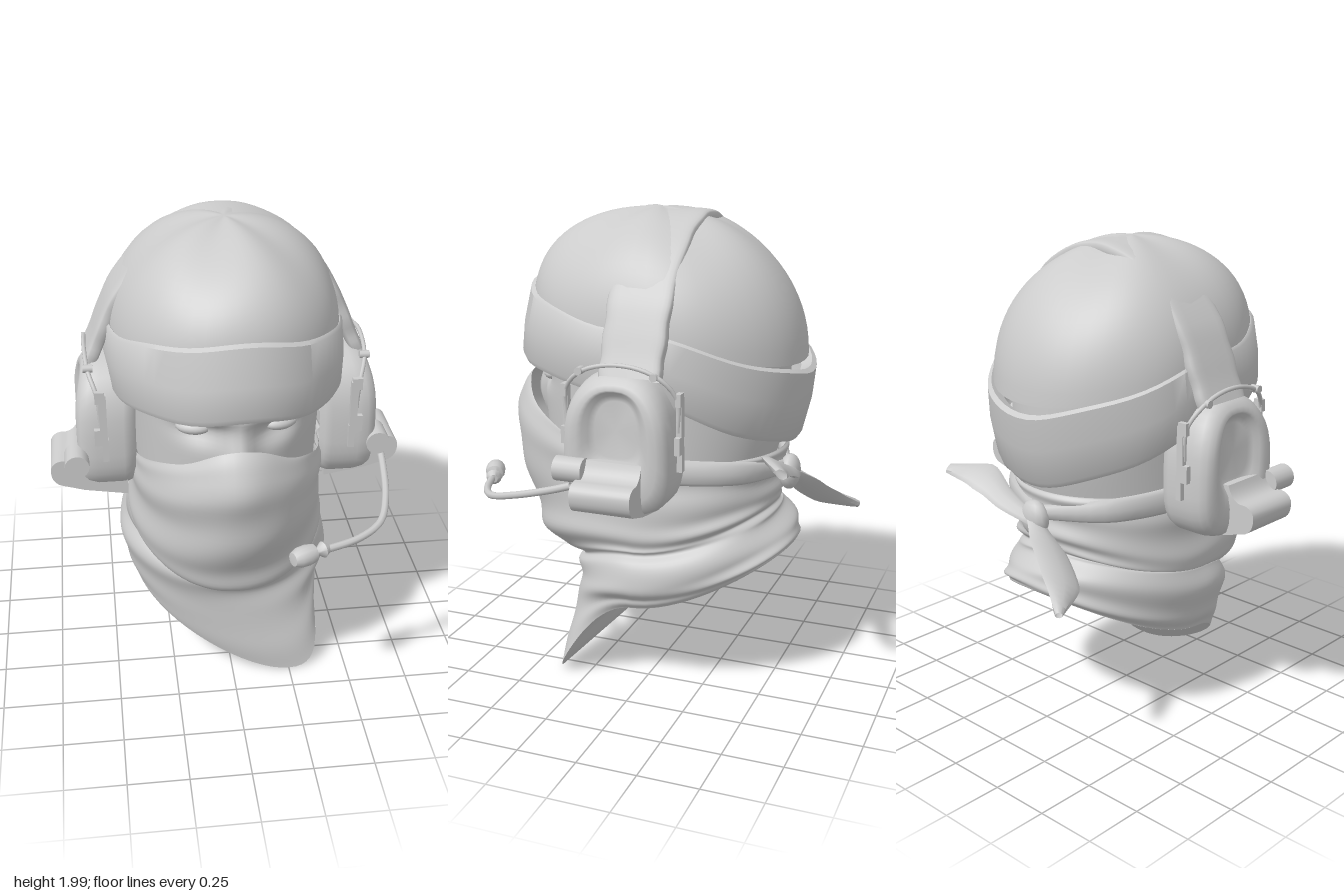
import * as THREE from 'three';
import { mergeVertices, toCreasedNormals } from 'three/addons/utils/BufferGeometryUtils.js';

const mat = new THREE.MeshStandardMaterial({ color: 0xcccccc, side: THREE.DoubleSide });
const V = (p) => new THREE.Vector3(...p);

function add(parent, name, geo, crease) {
  const mesh = new THREE.Mesh(crease ? toCreasedNormals(geo, crease) : geo, mat);
  mesh.name = name;
  parent.add(mesh);
  return mesh;
}

// Grid surface from f(u, v) -> [x, y, z], closed around u
function surf(nu, nv, f) {
  const pos = [], idx = [];
  for (let j = 0; j <= nv; j++)
    for (let i = 0; i <= nu; i++) pos.push(...f((i % nu) / nu, j / nv));
  for (let j = 0; j < nv; j++)
    for (let i = 0; i < nu; i++) {
      const a = j * (nu + 1) + i, b = a + nu + 1;
      idx.push(a, b, a + 1, a + 1, b, b + 1);
    }
  let g = new THREE.BufferGeometry();
  g.setAttribute('position', new THREE.Float32BufferAttribute(pos, 3));
  g.setIndex(idx);
  g = mergeVertices(g, 1e-5);
  g.computeVertexNormals();
  return g;
}

const spow = (x, p) => Math.sign(x) * Math.abs(x) ** p;
const bump = (x, s) => Math.exp(-(x * x) / (s * s));

// Rings listed top to bottom: [frontY, frontZ, sideY, sideX, backY, backZ, frontShiftX]
function ringSurf(rings, nu, steps, deform = (p) => p) {
  const n = rings.length - 1;
  return surf(nu, n * steps, (u, v) => {
    const k = Math.min(Math.floor(v * n + 1e-6), n - 1), t = v * n - k;
    const at = (i) => rings[Math.max(0, Math.min(n, i))];
    const r = Array.from({ length: 7 }, (_, i) => {
      const [a, b, c, d] = [k - 1, k, k + 1, k + 2].map((q) => at(q)[i] ?? 0);
      if (steps === 1) return b + (c - b) * t;
      return b + 0.5 * t * (c - a + t * (2 * a - 5 * b + 4 * c - d + t * (3 * (b - c) + d - a)));
    });
    const th = u * Math.PI * 2, c = spow(Math.cos(th), 0.95), front = c > 0;
    return deform([
      r[3] * spow(Math.sin(th), 0.95) + (front ? r[6] * c ** 3 : 0),
      r[2] + (front ? (r[0] - r[2]) * c * c : (r[4] - r[2]) * Math.abs(c) ** 1.5),
      front ? r[1] * c : -r[5] * c,
    ], th, v);
  });
}

// Flat tapering cloth strip along points; widths along it, dir = width direction
function strip(points, widths, dir, thick) {
  const curve = new THREE.CatmullRomCurve3(points.map(V)), d = V(dir).normalize();
  return surf(8, 16, (u, v) => {
    const k = Math.min(Math.floor(v * (widths.length - 1)), widths.length - 2);
    const w = THREE.MathUtils.lerp(widths[k], widths[k + 1], v * (widths.length - 1) - k);
    const side = curve.getTangent(v).cross(d).normalize(), a = u * Math.PI * 2;
    return curve.getPoint(v).addScaledVector(d, Math.cos(a) * w)
      .addScaledVector(side, Math.sin(a) * Math.min(thick, w)).toArray();
  });
}

const rod = (points, r) => new THREE.TubeGeometry(new THREE.CatmullRomCurve3(points.map(V)), 28, r, 8);

function earCup(zShift) {
  const g = new THREE.Group();
  // Padded shell with a shallow oval recess: [x, scale, centreY]
  const prof = [[0.38, 0.88, 1.14], [0.4, 0.98, 1.14], [0.43, 1.02, 1.14], [0.54, 1.02, 1.14], [0.58, 0.99, 1.14],
    [0.605, 0.93, 1.14], [0.618, 0.82, 1.15], [0.62, 0.68, 1.17], [0.61, 0.58, 1.19], [0.59, 0.5, 1.195], [0.575, 0.4, 1.2], [0.575, 0, 1.2]];
  add(g, 'cupShell', surf(36, prof.length - 1, (u, v) => {
    const [x, s, cy] = prof[Math.round(v * (prof.length - 1))];
    const a = u * Math.PI * 2, c = Math.cos(a), q = Math.sin(a), pw = q > 0 ? 0.8 : 0.65;
    return [x - (q > 0 ? 0.04 * q * q * s : 0), cy + spow(q, pw) * 0.28 * s, spow(c, pw) * (0.22 - 0.015 * q) * s];
  }));
  // Flared housing at the foot of the cup
  const shape = new THREE.Shape();
  shape.moveTo(0.42, 0.84);
  shape.lineTo(0.6, 0.87);
  shape.lineTo(0.7, 0.9);
  shape.quadraticCurveTo(0.74, 0.92, 0.735, 0.98);
  shape.quadraticCurveTo(0.72, 1.02, 0.67, 1.015);
  shape.quadraticCurveTo(0.63, 1.02, 0.61, 1.08);
  shape.lineTo(0.42, 1.08);
  const housing = new THREE.ExtrudeGeometry(shape, { depth: 0.25, bevelEnabled: false, curveSegments: 6 });
  add(g, 'cupHousing', housing, 0.7).position.z = -0.12 + zShift;
  const knob = add(g, 'knob', new THREE.CylinderGeometry(0.05, 0.05, 0.12, 16).rotateX(Math.PI / 2));
  knob.position.set(0.625, 1.04, 0.17 + zShift);
  // Wire yoke and its sliding clips
  add(g, 'yokeWire', rod([[0.52, 1.2, 0.23], [0.53, 1.33, 0.23], [0.56, 1.41, 0.16], [0.57, 1.45, 0.05],
    [0.57, 1.45, -0.08], [0.56, 1.41, -0.18], [0.53, 1.33, -0.235], [0.52, 1.2, -0.235]], 0.009));
  for (const z of [0.235, -0.24]) {
    const clip = new THREE.Group();
    clip.name = 'yokeClip';
    for (const [x, y, w, h] of [[0.51, 1.24, 0.03, 0.2], [0.525, 1.15, 0.045, 0.07], [0.505, 1.09, 0.025, 0.1], [0.52, 1.33, 0.04, 0.05]])
      add(clip, 'clipPlate', new THREE.BoxGeometry(w, h, 0.022)).position.set(x, y, z);
    const pin = add(clip, 'clipPin', new THREE.CylinderGeometry(0.016, 0.016, 0.04, 10).rotateZ(Math.PI / 2));
    pin.position.set(0.56, 1.42, z * 0.65);
    g.add(clip);
  }
  return g;
}

export function createModel() {
  const model = new THREE.Group();

  // Head with brow, sockets and nose bridge
  add(model, 'face', ringSurf([[1.52, 0.55, 1.5, 0.41, 1.4, -0.52], [1.38, 0.55, 1.38, 0.4, 1.25, -0.52],
    [1.2, 0.54, 1.2, 0.39, 1.1, -0.5], [1.0, 0.52, 1.0, 0.38, 0.95, -0.46]], 96, 10, ([x, y, z]) => {
    if (z > 0) {
      z += 0.07 * bump(x, 0.05) * bump(y - 1.17, 0.13) - 0.05 * bump(Math.abs(x) - 0.15, 0.085) * bump(y - 1.295, 0.05);
      z += 0.03 * bump(y - 1.37, 0.035) * bump(Math.abs(x) - 0.13, 0.13);
    }
    return [x, y, z];
  }));
  for (const s of [-1, 1]) {
    const eye = add(model, 'eye', new THREE.SphereGeometry(1, 20, 12));
    eye.scale.set(0.07, 0.03, 0.045);
    eye.position.set(s * 0.17, 1.3, 0.45);
    eye.rotation.y = s * 0.35;
  }

  // Knitted cap, broadest behind the ears: dome and folded cuff
  const broaden = (z) => 1 + 0.07 * bump(z + 0.28, 0.24);
  add(model, 'capDome', surf(48, 20, (u, v) => {
    const th = u * Math.PI * 2, c = spow(Math.cos(th), 0.95), a = v * Math.PI / 2, r = Math.sin(a);
    const base = 1.5 + (c > 0 ? 0.1 * c * c : -0.1 * Math.abs(c) ** 1.5);
    const z = (c > 0 ? 0.565 : 0.59) * c * r + 0.03 * (1 - v);
    const x = 0.465 * spow(Math.sin(th), 0.95) * r * broaden(z);
    return [x, base + (1.99 - base) * Math.cos(a) ** 0.92 + 0.012 * Math.sin(th * 5) * Math.sin(2 * a), z];
  }));
  add(model, 'capCuff', ringSurf([[1.65, 0.52, 1.54, 0.44, 1.35, -0.56], [1.685, 0.56, 1.575, 0.465, 1.375, -0.605],
    [1.675, 0.58, 1.565, 0.475, 1.36, -0.625], [1.53, 0.615, 1.45, 0.485, 1.23, -0.61], [1.41, 0.63, 1.335, 0.48, 1.09, -0.575],
    [1.385, 0.62, 1.315, 0.47, 1.07, -0.56], [1.39, 0.54, 1.33, 0.42, 1.09, -0.52]], 64, 1, ([x, y, z], th) =>
    [x * broaden(z), y + 0.006 * Math.sin(th * 7 + 1), z]), 0.8);

  // Face scarf: mask, tucked chin and hanging collar point
  const scarf = [[1.27, 0.61, 1.02, 0.395, 1.03, -0.51], [1.2, 0.65, 1.0, 0.4, 1.01, -0.52], [1.06, 0.68, 0.95, 0.4, 0.97, -0.51],
    [0.88, 0.65, 0.86, 0.4, 0.92, -0.5], [0.7, 0.595, 0.75, 0.41, 0.86, -0.5], [0.58, 0.55, 0.68, 0.415, 0.82, -0.5],
    [0.51, 0.45, 0.64, 0.4, 0.79, -0.49], [0.49, 0.36, 0.63, 0.4, 0.77, -0.49], [0.47, 0.375, 0.62, 0.43, 0.75, -0.51],
    [0.41, 0.365, 0.54, 0.455, 0.7, -0.55], [0.3, 0.36, 0.46, 0.435, 0.66, -0.58, 0.07], [0.13, 0.38, 0.41, 0.415, 0.63, -0.58, 0.17],
    [0, 0.385, 0.38, 0.4, 0.615, -0.57, 0.25]];
  add(model, 'scarf', ringSurf(scarf, 80, 6, ([x, y, z], th, v) => {
    const fade = Math.min(1, v * 6) * Math.min(1, (1 - v) * 8);
    const k = 1 + fade * (0.01 * Math.sin(v * 46 + 2.5 * Math.sin(th + 0.6)) + 0.008 * Math.sin(v * 30 + th * 3));
    const nose = z > 0 ? 0.025 * bump(x, 0.11) * bump(y - 1.14, 0.14) : 0;
    const drop = z > 0 ? 0.03 * Math.max(0, 1 - v * 8) * bump(Math.abs(x) - 0.2, 0.1) : 0;
    const lean = 0.12 * x * bump(v - 0.72, 0.12);
    return [x * k, y - drop - lean, z * k + nose];
  }));
  add(model, 'scarfUnderside', ringSurf([scarf[scarf.length - 1], [0.38, 0, 0.44, 0.02, 0.45, -0.12, 0.02],
    [0.44, 0, 0.44, 0, 0.44, 0]], 80, 1));

  // Rolled ties, knot and loose ends at the nape
  for (const s of [-1, 1])
    add(model, 'scarfTie', strip([[s * 0.4, 1.01, 0.1], [s * 0.385, 0.99, -0.15], [s * 0.28, 0.98, -0.4], [0, 0.94, -0.53]],
      [0.05, 0.055, 0.05, 0.03], [0, 1, 0], 0.02));
  const knot = add(model, 'scarfKnot', new THREE.SphereGeometry(1, 14, 10));
  knot.scale.set(0.07, 0.075, 0.045);
  knot.position.set(0, 0.92, -0.54);
  add(model, 'scarfEndUpper', strip([[0, 0.92, -0.56], [0.14, 0.97, -0.57], [0.28, 1.03, -0.56], [0.43, 1.05, -0.62]],
    [0.03, 0.05, 0.075, 0.025], [0.1, 0.5, 0.85], 0.018), 0.8);
  add(model, 'scarfEndLower', strip([[0, 0.92, -0.55], [-0.12, 0.83, -0.58], [-0.25, 0.74, -0.64], [-0.36, 0.68, -0.76]],
    [0.03, 0.085, 0.085, 0.015], [0.45, 0.45, -0.75], 0.02), 0.8);

  // Padded headband hugging the crown
  const half = [[0.55, 1.4], [0.515, 1.48], [0.475, 1.58], [0.42, 1.69], [0.28, 1.85], [0.14, 1.93]];
  const arc = new THREE.CatmullRomCurve3([...half.map(([x, y]) => V([x, y, 0])), V([0, 1.957, 0]),
    ...half.map(([x, y]) => V([-x, y, 0])).reverse()]);
  add(model, 'headband', surf(24, 48, (u, v) => {
    const a = u * Math.PI * 2, t = arc.getTangent(v), p = arc.getPoint(v);
    const width = 0.125 + 0.01 * Math.sin(v * Math.PI) + 0.003 * Math.sin(v * 60);
    const h = spow(Math.sin(a), 0.5) * 0.03;
    return [p.x + t.y * h, p.y - t.x * h, spow(Math.cos(a), 0.4) * width - 0.05];
  }));

  // Ear cups, mirrored
  const left = earCup(0), right = earCup(0.05);
  left.name = 'leftEarCup';
  right.name = 'rightEarCup';
  right.scale.x = -1;
  model.add(left, right);

  // Microphone boom and foam tip
  add(model, 'micBoom', rod([[0.65, 0.98, 0.16], [0.645, 0.95, 0.25], [0.62, 0.9, 0.42], [0.57, 0.865, 0.55],
    [0.47, 0.85, 0.63], [0.3, 0.845, 0.695]], 0.015));
  const tip = new THREE.LatheGeometry([[0, 0], [0.018, 0], [0.033, 0.025], [0.016, 0.05], [0.016, 0.06], [0.036, 0.068],
    [0.042, 0.1], [0.04, 0.14], [0.028, 0.165], [0, 0.168]].map((p) => new THREE.Vector2(...p)), 14);
  const mic = add(model, 'micTip', tip, 0.8);
  mic.position.set(0.335, 0.845, 0.675);
  mic.quaternion.setFromUnitVectors(V([0, 1, 0]), V([-0.91, 0.02, 0.4]).normalize());
  return model;
}
